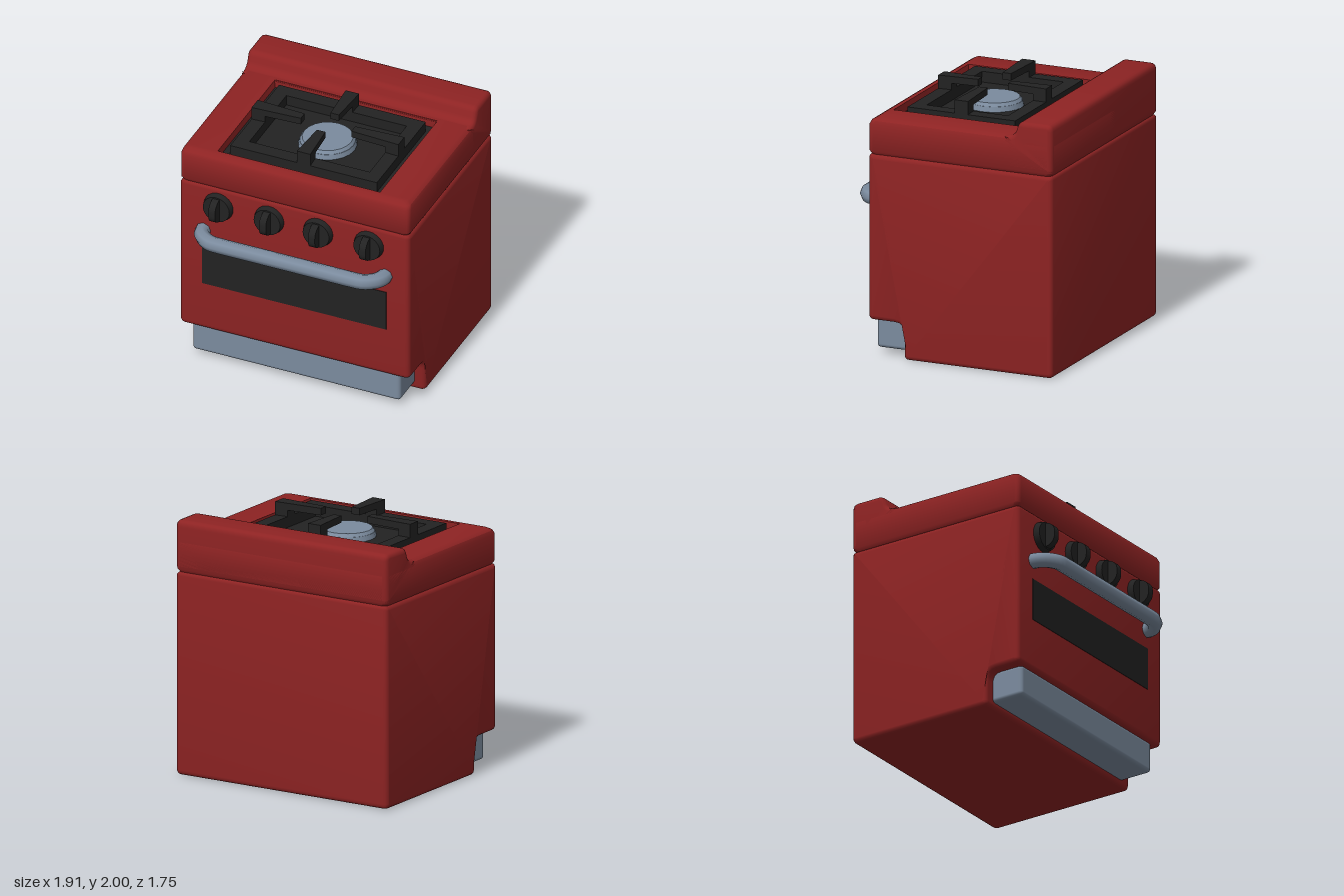
import * as THREE from 'three';
import { toCreasedNormals } from 'three/addons/utils/BufferGeometryUtils.js';
import { RoundedBoxGeometry } from 'three/addons/geometries/RoundedBoxGeometry.js';

const mat = (name, color) => {
  const m = new THREE.MeshStandardMaterial({ color });
  m.name = name;
  return m;
};

// Closed polygon with every corner [x, y, radius] rounded off
function roundedShape(points) {
  const s = new THREE.Shape();
  const v = points.map(([x, y]) => new THREE.Vector2(x, y));
  points.forEach(([, , r], i) => {
    const p = v[i];
    const toward = (q) => p.clone().add(q.clone().sub(p).setLength(r));
    const a = toward(v[(i + v.length - 1) % v.length]);
    const b = toward(v[(i + 1) % v.length]);
    if (i === 0) s.moveTo(a.x, a.y); else s.lineTo(a.x, a.y);
    s.quadraticCurveTo(p.x, p.y, b.x, b.y);
  });
  s.closePath();
  return s;
}

// Side profile in (z, y), extruded across the full width with softened ends
function sideExtrude(points, halfWidth, bevel) {
  const g = new THREE.ExtrudeGeometry(roundedShape(points), {
    depth: 2 * (halfWidth - bevel), bevelEnabled: true, bevelSize: bevel,
    bevelThickness: bevel, bevelOffset: -bevel, bevelSegments: 3, curveSegments: 4,
  });
  g.translate(0, 0, -(halfWidth - bevel));
  g.rotateY(-Math.PI / 2);
  return toCreasedNormals(g, 0.7);
}

// Skin through horizontal rounded rectangles [y, x half, z back, z front, radius]
function loftRings(rings) {
  const pos = [], index = [], steps = 4, n = 4 * (steps + 1);
  for (const [y, hx, z0, z1, r] of rings) {
    for (let q = 0; q < 4; q++) {
      const sx = q === 0 || q === 3 ? 1 : -1;
      const cz = q < 2 ? z0 + r : z1 - r;
      for (let k = 0; k <= steps; k++) {
        const a = (q + k / steps) * Math.PI / 2;
        pos.push(sx * (hx - r) + r * Math.cos(a), y, cz - r * Math.sin(a));
      }
    }
  }
  for (let i = 0; i < rings.length - 1; i++) {
    for (let k = 0; k < n; k++) {
      const a = i * n + k, b = i * n + (k + 1) % n;
      index.push(a, b, b + n, a, b + n, a + n);
    }
  }
  const g = new THREE.BufferGeometry();
  g.setAttribute('position', new THREE.Float32BufferAttribute(pos, 3));
  g.setIndex(index);
  return toCreasedNormals(g, 0.7);
}

export function createModel() {
  const model = new THREE.Group();
  model.name = 'stove';
  const red = mat('red enamel', 0x8e2323);
  const steel = mat('blue grey steel', 0x7b8b9e);
  const black = mat('black iron', 0x222222);

  const add = (name, geometry, material, x = 0, y = 0, z = 0, parent = model) => {
    const m = new THREE.Mesh(geometry, material);
    m.name = name;
    m.position.set(x, y, z);
    parent.add(m);
    return m;
  };

  // Oven body with a toe notch for the drawer
  add('body', sideExtrude([
    [-0.875, 0, 0.04], [0.365, 0, 0.04], [0.365, 0.285, 0.08],
    [0.66, 0.285, 0.04], [0.66, 1.595, 0.03], [-0.875, 1.595, 0.03],
  ], 0.955, 0.035), red);

  // Hob slab with a rectangular well
  add('hob', loftRings([
    [1.585, 0.91, -0.83, 0.615, 0.03], [1.595, 0.94, -0.86, 0.645, 0.04],
    [1.62, 0.955, -0.875, 0.66, 0.04], [1.83, 0.955, -0.875, 0.66, 0.04],
    [1.86, 0.945, -0.865, 0.645, 0.04], [1.88, 0.91, -0.83, 0.61, 0.03],
    [1.88, 0.675, -0.48, 0.575, 0.002], [1.80, 0.675, -0.48, 0.575, 0.002],
  ]), red);
  add('wellFloor', new THREE.BoxGeometry(1.35, 0.008, 1.055), black, 0, 1.806, 0.0475);

  // Raised ledge at the back
  add('backLedge', sideExtrude([
    [-0.875, 1.61, 0.03], [-0.52, 1.61, 0.01], [-0.47, 1.875, 0.01],
    [-0.555, 1.885, 0.045], [-0.595, 2.0, 0.04], [-0.875, 2.0, 0.05],
  ], 0.955, 0.035), red);

  // Storage drawer
  add('drawer', new RoundedBoxGeometry(1.73, 0.25, 0.33, 3, 0.03), steel, 0, 0.173, 0.465);

  // Oven window
  add('window', new THREE.BoxGeometry(1.53, 0.34, 0.008), black, 0, 0.87, 0.66);

  // Bent door handle
  const half = [[0.755, 0.62], [0.755, 0.68], [0.725, 0.745], [0.64, 0.805], [0.56, 0.812], [0.3, 0.812]];
  const path = [
    ...half.map(([x, z]) => new THREE.Vector3(-x, 1.19, z)),
    ...half.slice().reverse().map(([x, z]) => new THREE.Vector3(x, 1.19, z)),
  ];
  add('handle', new THREE.TubeGeometry(new THREE.CatmullRomCurve3(path), 64, 0.061, 8), steel);

  // Knobs: round base and a domed grip
  const base = new THREE.CylinderGeometry(0.11, 0.122, 0.05, 24);
  base.rotateX(Math.PI / 2);
  const gripShape = roundedShape([
    [0, -0.1, 0.01], [0.06, -0.09, 0.03], [0.1, -0.045, 0.03],
    [0.1, 0.045, 0.03], [0.06, 0.09, 0.03], [0, 0.1, 0.01],
  ]);
  const grip = new THREE.ExtrudeGeometry(gripShape, { depth: 0.056, bevelEnabled: false, curveSegments: 4 });
  grip.translate(0, 0, -0.028);
  grip.rotateY(-Math.PI / 2);
  for (const x of [-0.63, -0.207, 0.2, 0.622]) {
    const knob = new THREE.Group();
    knob.name = 'knob';
    knob.position.set(x, 1.435, 0.66);
    model.add(knob);
    add('knobBase', base, black, 0, 0, 0.022, knob);
    add('knobGrip', grip, black, 0, 0, 0.03, knob);
  }

  // Burner
  add('burnerRing', new THREE.CylinderGeometry(0.215, 0.225, 0.04, 20), steel, 0, 1.83, 0.045);
  add('burnerCap', new THREE.CylinderGeometry(0.195, 0.212, 0.025, 20), steel, 0, 1.8625, 0.045);

  // Pan support: square frame
  const rect = (S, x, y) => new S([[-x, -y], [x, -y], [x, y], [-x, y]].map((p) => new THREE.Vector2(...p)));
  const frameShape = rect(THREE.Shape, 0.61, 0.45);
  frameShape.holes.push(rect(THREE.Path, 0.5, 0.34));
  const frame = new THREE.ExtrudeGeometry(frameShape, { depth: 0.085, bevelEnabled: false });
  frame.rotateX(-Math.PI / 2);
  add('grateFrame', frame, black, 0, 1.81, 0.04);

  // Pan support: four hooked arms, narrowing toward the burner
  const prong = (length) => {
    const s = new THREE.Shape([
      [0, 1.88], [0.11, 1.88], [0.11, 1.945], [length, 1.945], [length, 2], [0, 2],
    ].map((p) => new THREE.Vector2(...p)));
    const g = new THREE.ExtrudeGeometry(s, { depth: 0.112, bevelEnabled: false });
    g.translate(0, 0, -0.056);
    const p = g.attributes.position;
    for (let i = 0; i < p.count; i++) p.setZ(i, p.getZ(i) * (1 - 0.37 * p.getX(i) / length));
    g.computeVertexNormals();
    return g;
  };
  const longProng = prong(0.4), shortProng = prong(0.325);
  for (const [g, x, z, turn] of [
    [longProng, -0.61, 0.04, 0], [longProng, 0.61, 0.04, Math.PI],
    [shortProng, 0, 0.49, Math.PI / 2], [shortProng, 0, -0.41, -Math.PI / 2],
  ]) add('grateArm', g, black, x, 0, z).rotation.y = turn;

  return model;
}
